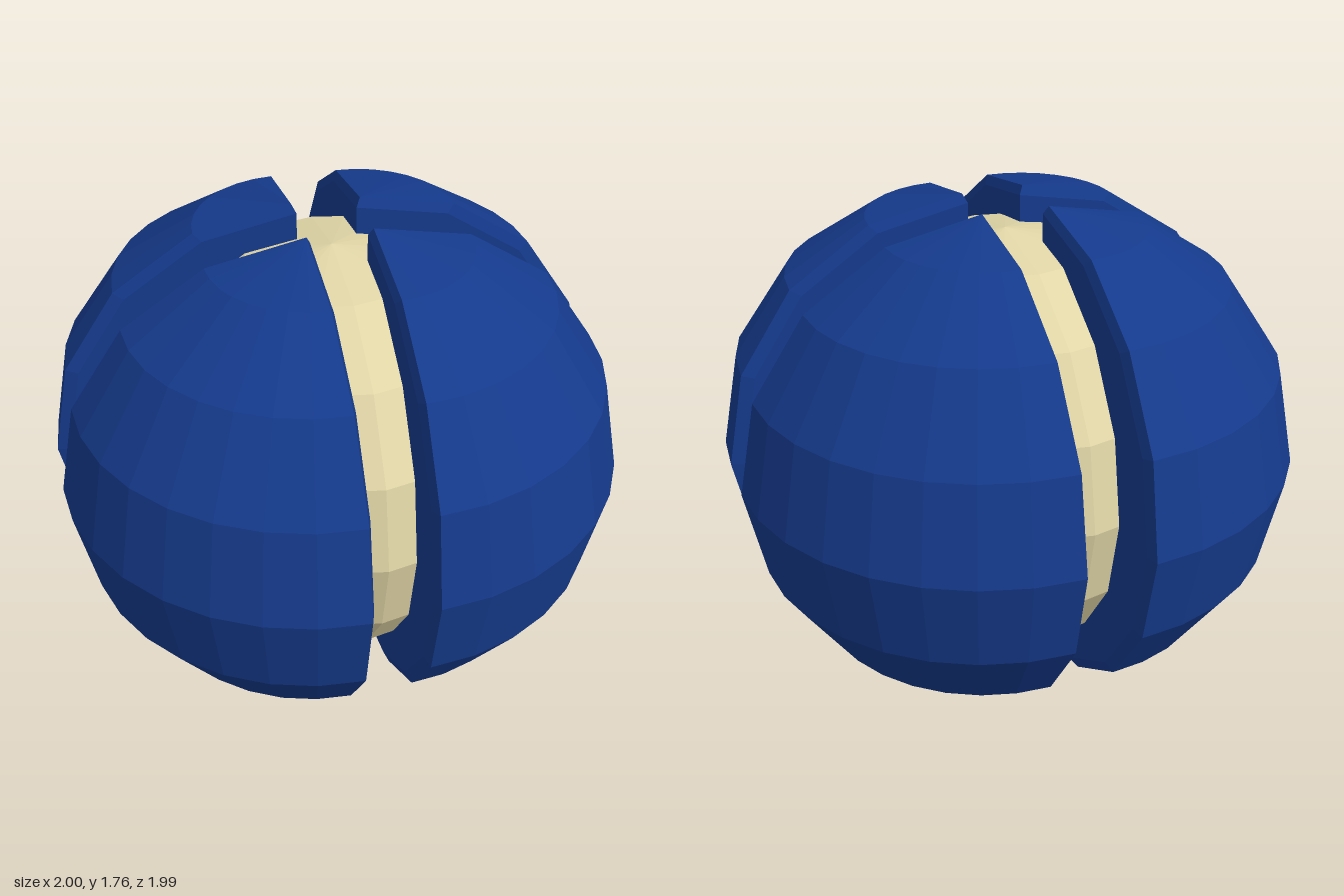
import * as THREE from 'three';

const CENTRE_Y = 0.88;
const RADIUS = 0.88;      // outer radius of each quarter segment
const RINGS = 8;          // pole to pole
const COLUMNS = 8;        // around one quarter
const BEVEL = 0.015;      // sideways inset of the outer edge
const BEVEL_DEPTH = 0.03; // radial drop of the bevel

// Solid quarter of a faceted sphere in the +x +z quadrant, with bevelled cut edges
function quarterGeometry() {
  // one cross-section, as [azimuth, radius, inset]
  const section = [[0, RADIUS * 0.55, 0], [0, RADIUS - BEVEL_DEPTH, 0]];
  for (let i = 0; i <= COLUMNS; i++) section.push([(i / COLUMNS) * Math.PI / 2, RADIUS, BEVEL]);
  section.push([Math.PI / 2, RADIUS - BEVEL_DEPTH, 0], [Math.PI / 2, RADIUS * 0.55, 0]);

  const n = section.length;
  const positions = [];
  const indices = [];
  for (let r = 0; r <= RINGS; r++) {
    const polar = (r / RINGS) * Math.PI;
    for (const [azimuth, radius, inset] of section) {
      const flat = radius * Math.sin(polar);
      positions.push(
        inset + flat * Math.cos(azimuth),
        radius * Math.cos(polar),
        inset + flat * Math.sin(azimuth)
      );
    }
  }
  for (let r = 0; r < RINGS; r++) {
    for (let c = 0; c < n; c++) {
      const a = r * n + c;
      const b = r * n + (c + 1) % n;
      if (r < RINGS - 1) indices.push(a, b + n, a + n);
      if (r > 0) indices.push(a, b, b + n);
      // keep the bevel and wall strips whole at the poles
      if (r === 0) indices.push(a, b, b + n);
      if (r === RINGS - 1) indices.push(a, b + n, a + n);
    }
  }
  const geometry = new THREE.BufferGeometry();
  geometry.setAttribute('position', new THREE.Float32BufferAttribute(positions, 3));
  geometry.setIndex(indices);
  const faceted = geometry.toNonIndexed();
  faceted.computeVertexNormals();
  return faceted;
}

export function createModel() {
  const model = new THREE.Group();
  model.name = 'segmentedBall';

  const shellMaterial = new THREE.MeshStandardMaterial({ color: 0x153a8c, flatShading: true });
  const coreMaterial = new THREE.MeshStandardMaterial({ color: 0xe0d5a6, flatShading: true });

  // Pale inner ball
  const core = new THREE.Mesh(new THREE.SphereGeometry(0.78, 16, RINGS), coreMaterial);
  core.name = 'core';
  core.position.set(-0.01, CENTRE_Y, 0);
  model.add(core);

  // Four quarter segments, pushed apart by slightly uneven gaps
  const geometry = quarterGeometry();
  const corners = [
    ['frontLeftSegment', 0.09, 0.09],
    ['backLeftSegment', 0.1, -0.095],
    ['backRightSegment', -0.105, -0.105],
    ['frontRightSegment', -0.105, 0.095],
  ];
  corners.forEach(([name, x, z], k) => {
    const segment = new THREE.Mesh(geometry, shellMaterial);
    segment.name = name;
    segment.position.set(x, CENTRE_Y, z);
    segment.rotation.y = k * Math.PI / 2;
    model.add(segment);
  });

  return model;
}
